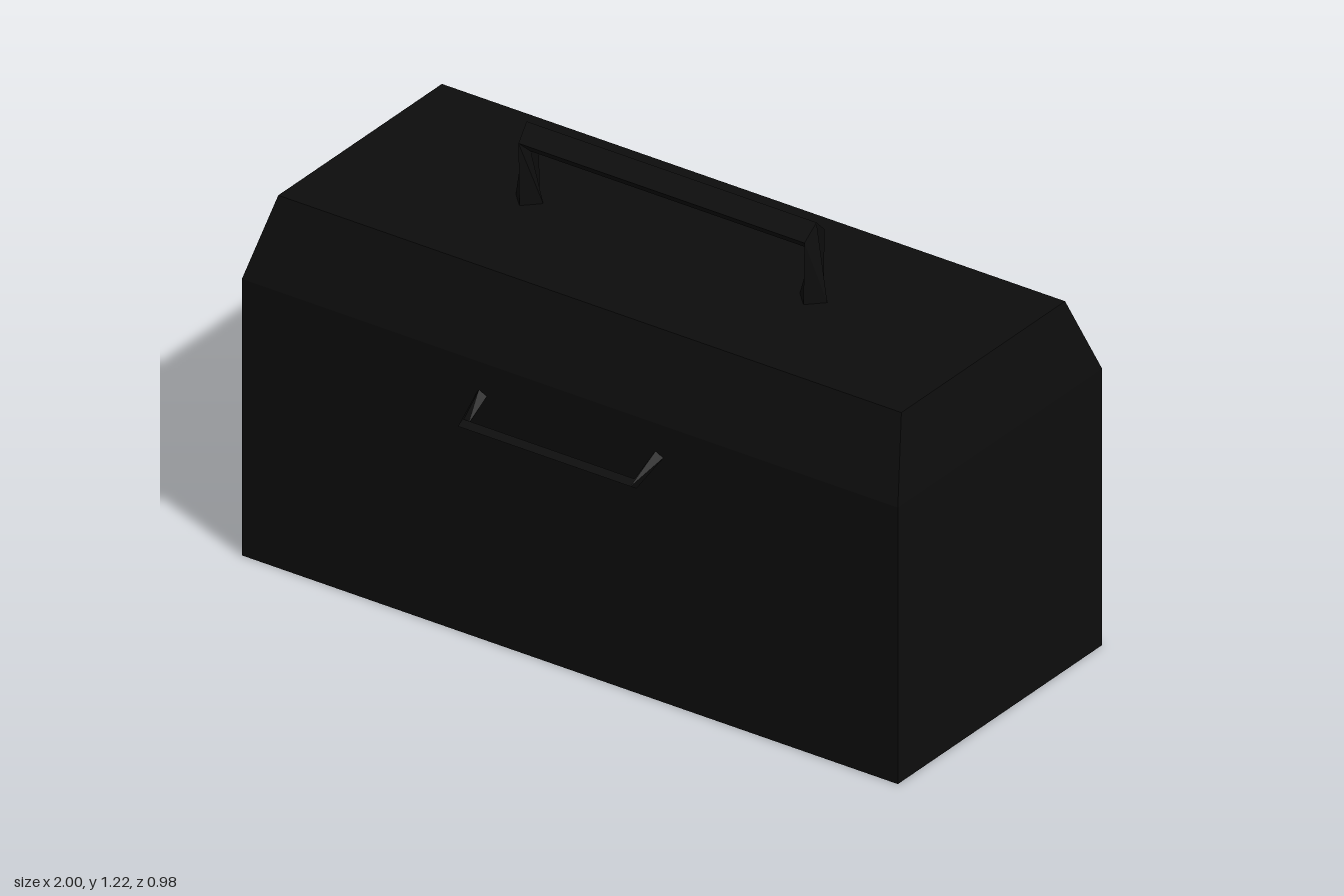
import * as THREE from 'three';

// Closed flat-shaded skin through a series of four-cornered rings
function loft(rings, material, name) {
  const pos = [];
  const tri = (...pts) => pts.forEach((p) => pos.push(...p));
  const quad = (a, b, c, d) => { tri(a, b, c); tri(a, c, d); };
  for (let i = 0; i < rings.length - 1; i++) {
    for (let j = 0; j < 4; j++) {
      const k = (j + 1) % 4;
      quad(rings[i][j], rings[i + 1][j], rings[i + 1][k], rings[i][k]);
    }
  }
  const [a, b, c, d] = rings[0];
  quad(a, b, c, d);
  const [e, f, g, h] = rings[rings.length - 1];
  quad(h, g, f, e);
  const geometry = new THREE.BufferGeometry();
  geometry.setAttribute('position', new THREE.Float32BufferAttribute(pos, 3));
  geometry.computeVertexNormals();
  const mesh = new THREE.Mesh(geometry, material);
  mesh.name = name;
  return mesh;
}

// Rectangle at a given height
const rect = (y, x, z0, z1) => [[x, y, z1], [-x, y, z1], [-x, y, z0], [x, y, z0]];

// Handle made of a foot ring and a corner ring, mirrored to the other side
function handle(foot, corner, material, name) {
  const mirror = (ring) => ring.map(([x, y, z]) => [-x, y, z]);
  return loft([foot, corner, mirror(corner), mirror(foot)], material, name);
}

export function createModel() {
  const model = new THREE.Group();
  model.name = 'toolbox';
  const black = new THREE.MeshStandardMaterial({ color: 0x0d0d0d });
  black.name = 'black';

  // Box with a sloped lid
  model.add(loft([
    rect(0, 1, -0.49, 0.38),
    rect(0.785, 1, -0.49, 0.38),
    rect(1, 0.95, -0.402, 0.295),
  ], black, 'body'));

  // Carrying handle with a diamond section
  const zc = -0.053, r = 0.043;
  model.add(handle(
    [[0.475, 1, zc], [0.433, 1, zc + r], [0.391, 1, zc], [0.433, 1, zc - r]],
    [[0.442, 1.217, zc], [0.436, 1.176, zc + r], [0.429, 1.136, zc], [0.436, 1.176, zc - r]],
    black, 'topHandle'));

  // Small slanted pull on the front
  model.add(handle(
    [[0.285, 0.694, 0.38], [0.269, 0.675, 0.372], [0.253, 0.694, 0.38], [0.269, 0.713, 0.391]],
    [[0.263, 0.655, 0.489], [0.26, 0.635, 0.46], [0.256, 0.65, 0.452], [0.26, 0.667, 0.469]],
    black, 'frontHandle'));

  return model;
}
